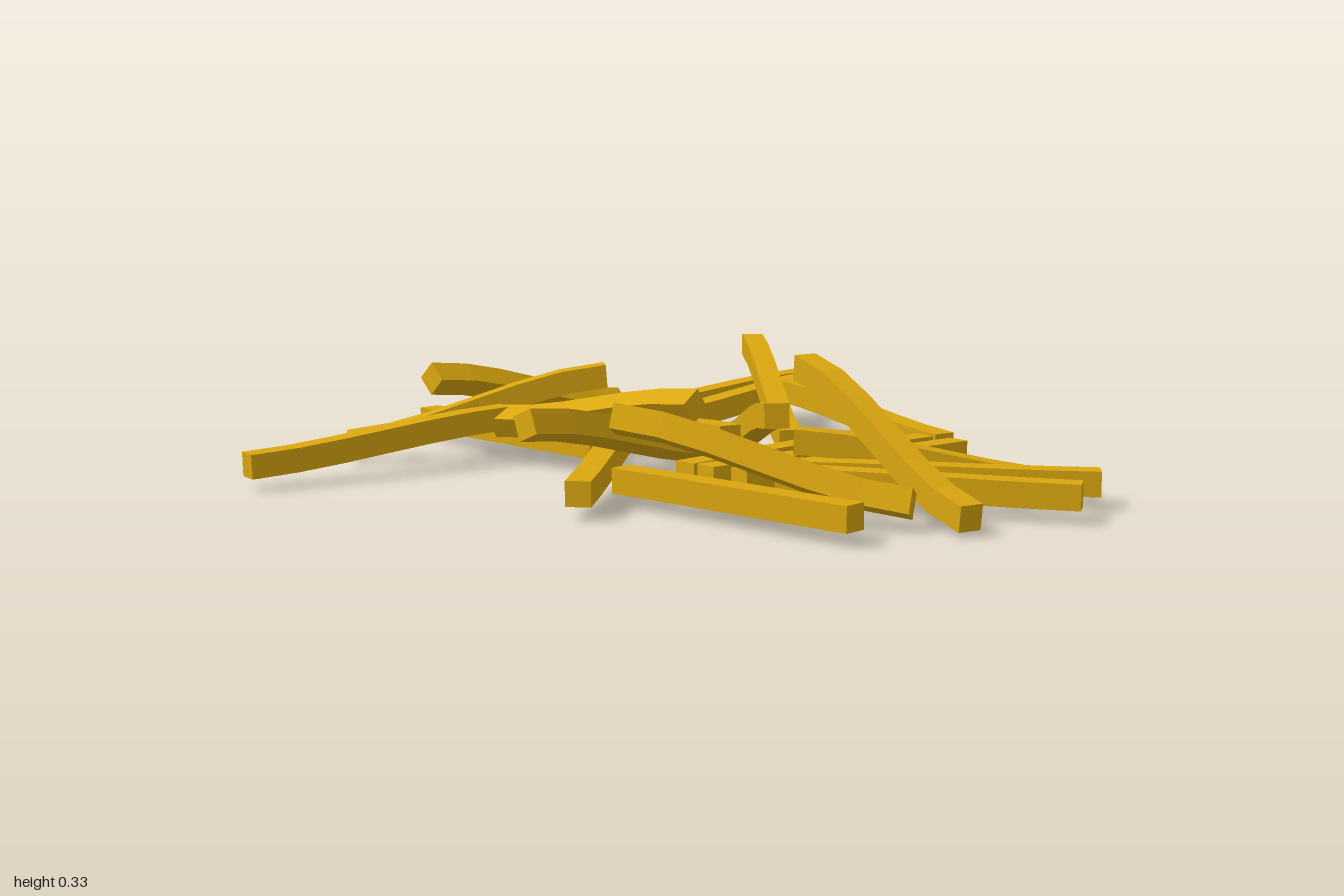
import * as THREE from 'three';

const WIDTH = 0.06;
const SEGMENTS = 6;

// Each stick: start x, z, height, end x, z, height (centre line), optional roll
const sticks = [
  // back left
  [-0.48, -0.91, 0.12, -0.61, -0.21, 0.07],
  [-0.42, -0.91, 0.12, -0.45, -0.21, 0.07],
  [-0.57, -0.78, 0.23, -0.06, -0.34, 0.05],
  [-0.33, -0.65, 0.13, 0.35, -0.46, 0.07],
  // left
  [-0.755, -0.4, 0.08, -0.755, 0.3, 0.22, 0.8],
  [-1.0, -0.06, 0.07, -0.3, 0.07, 0.07],
  [-1.0, 0.1, 0.07, -0.3, 0.14, 0.07],
  [-0.44, -0.03, 0.225, -0.87, 0.49, 0.06],
  [-0.63, -0.16, 0.07, 0.06, 0.04, 0.12],
  // middle
  [-0.22, -0.29, 0.06, 0.3, 0.15, 0.21],
  [-0.57, 0.235, 0.12, 0.12, 0.235, 0.225, -1.0],
  [-0.56, 0.22, 0.13, -0.74, 0.9, 0.07],
  [-0.26, 0.06, 0.12, 0.12, 0.63, 0.07],
  [0.035, 0.01, 0.09, 0.025, 0.7, 0.225, 0.4],
  [0.165, -0.41, 0.07, 0.135, 0.29, 0.07],
  [0.325, -0.41, 0.07, 0.2, 0.29, 0.07],
  [0.43, -0.41, 0.07, 0.295, 0.28, 0.07],
  // right
  [0.835, -0.34, 0.04, 0.28, 0.06, 0.14],
  [0.925, -0.27, 0.07, 0.35, 0.13, 0.08],
  [0.98, -0.1, 0.07, 0.36, 0.22, 0.08],
  [0.26, 0.0, 0.31, 0.88, 0.19, 0.05],
  [0.06, 0.43, 0.07, 0.75, 0.43, 0.07],
  [0.13, 0.52, 0.23, 0.75, 0.225, 0.07, -0.4],
];

// Square bar swept along a gently S-shaped line between two points
function stickGeometry([x0, z0, y0, x1, z1, y1, roll = 0]) {
  const centre = (t) => {
    const ease = THREE.MathUtils.lerp(t, THREE.MathUtils.smoothstep(t, 0, 1), 0.75);
    return new THREE.Vector3(
      THREE.MathUtils.lerp(x0, x1, t),
      THREE.MathUtils.lerp(y0, y1, ease),
      THREE.MathUtils.lerp(z0, z1, t)
    );
  };
  const geometry = new THREE.BoxGeometry(WIDTH, WIDTH, 1, 1, 1, SEGMENTS);
  const position = geometry.attributes.position;
  const side = new THREE.Vector3(z1 - z0, 0, -(x1 - x0)).normalize();
  for (let i = 0; i < position.count; i++) {
    const t = position.getZ(i) + 0.5;
    const tangent = centre(t + 0.05).sub(centre(t - 0.05)).normalize();
    const up = new THREE.Vector3().crossVectors(tangent, side);
    const offset = side.clone().multiplyScalar(position.getX(i))
      .addScaledVector(up, position.getY(i))
      .applyAxisAngle(tangent, roll);
    const p = centre(t).add(offset);
    position.setXYZ(i, p.x, p.y, p.z);
  }
  geometry.computeVertexNormals();
  return geometry;
}

export function createModel() {
  const model = new THREE.Group();
  model.name = 'stickPile';
  const material = new THREE.MeshStandardMaterial({ color: 0xd9a60f, flatShading: true });
  sticks.forEach((stick, i) => {
    const mesh = new THREE.Mesh(stickGeometry(stick), material);
    mesh.name = `stick${i + 1}`;
    model.add(mesh);
  });
  return model;
}
